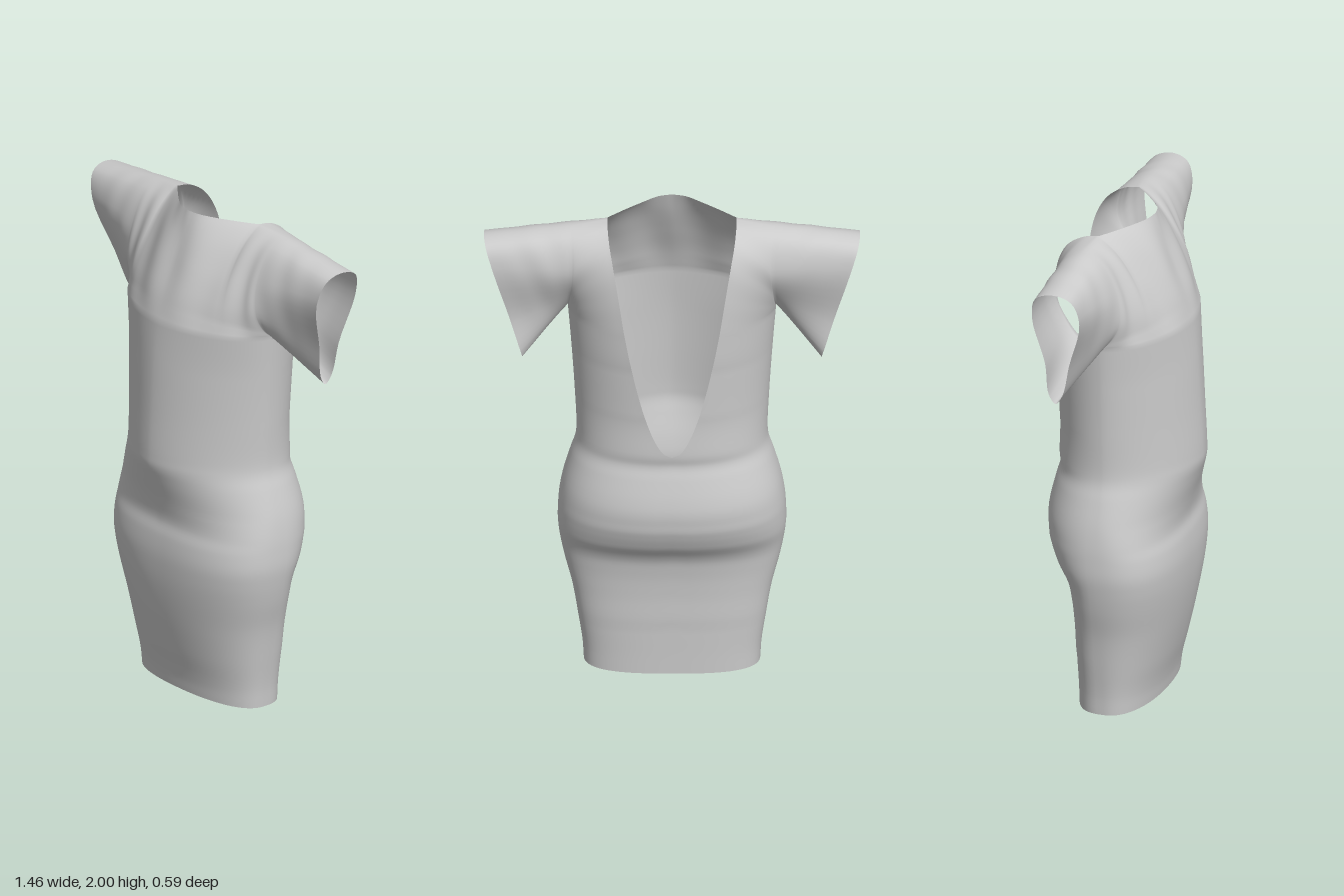
import * as THREE from 'three';

const V = (x, y, z) => new THREE.Vector3(x, y, z);
const toPoints = pts => pts.map(p => p.isVector3 ? p : V(...p));
const curve = (...pts) => new THREE.CatmullRomCurve3(toPoints(pts));
const loop = (...pts) => new THREE.CatmullRomCurve3(toPoints(pts), true);

// Body sections: y, half width, front z, back z, front squareness, back squareness
const SECTIONS = [
  [0, .343, .160, -.155, 2.2, 2.8],
  [.08, .348, .170, -.157, 2.2, 2.8],
  [.2, .365, .200, -.161, 2.2, 2.8],
  [.34, .388, .230, -.168, 2.25, 2.7],
  [.46, .418, .249, -.181, 2.35, 2.5],
  [.54, .434, .256, -.203, 2.45, 2.4],
  [.61, .443, .257, -.250, 2.5, 2.35],
  [.68, .442, .250, -.280, 2.45, 2.35],
  [.74, .437, .238, -.291, 2.35, 2.35],
  [.82, .423, .250, -.290, 2.05, 2.35],
  [.92, .395, .278, -.268, 1.85, 2.3],
  [.98, .376, .294, -.253, 1.75, 2.25],
  [1.025, .371, .295, -.259, 1.72, 2.2],
  [1.2, .378, .286, -.262, 1.7, 2.1],
  [1.4, .391, .274, -.271, 1.7, 2.1],
  [1.58, .405, .258, -.279, 1.8, 2.15],
];
const WAIST = 12, LAST = SECTIONS.length - 1, PER = 5;
const sizeCurve = curve(...SECTIONS.map(s => [s[1], s[0], s[2]]));
const shapeCurve = curve(...SECTIONS.map(s => [s[4], s[3], s[5]]));

// Half width of the open back at height y
const openBack = y => .24 * Math.sqrt(Math.max(0, y - 1.025) / .92);

// Point on the left half of the body; u runs centre to side (front) or side to centre (back)
function bodyPoint(isFront, u, t) {
  const a = sizeCurve.getPoint(t), b = shapeCurve.getPoint(t);
  const hw = a.x, n = isFront ? b.x : b.z;
  const end = isFront ? 0 : Math.asin(Math.pow(openBack(a.y) / hw, n / 2));
  const ang = isFront ? u * Math.PI / 2 : Math.PI / 2 + u * (end - Math.PI / 2);
  const s = Math.max(0, Math.sin(ang)), c = Math.max(0, Math.cos(ang));
  const lift = isFront ? .015 * c * c * Math.max(0, 1 - a.y / .08) : 0;
  return V(hw * Math.pow(s, 2 / n), a.y + lift, (isFront ? a.z : b.y) * Math.pow(c, 2 / n));
}

// Grid surface, side = -1 gives the mirrored copy
function grid(nu, nv, f, side) {
  const pos = [], idx = [];
  for (let j = 0; j <= nv; j++) for (let i = 0; i <= nu; i++) {
    const p = f(i / nu, j / nv);
    pos.push(p.x * side, p.y, p.z);
    if (i < nu && j < nv) {
      const a = j * (nu + 1) + i, b = a + 1, c = a + nu + 1, d = c + 1;
      if (side > 0) idx.push(a, b, d, a, d, c);
      else idx.push(a, d, b, a, c, d);
    }
  }
  const g = new THREE.BufferGeometry();
  g.setAttribute('position', new THREE.Float32BufferAttribute(pos, 3));
  g.setIndex(idx);
  g.computeVertexNormals();
  return g;
}

// Surface filling four boundary curves
const coons = (bottom, top, left, right) => (u, v) => {
  const mix = (p, q, k) => p.clone().lerp(q, k);
  const corners = mix(mix(bottom(0), bottom(1), u), mix(top(0), top(1), u), v);
  return mix(bottom(u), top(u), v).add(mix(left(v), right(v), u)).sub(corners);
};

// Average normals where panels meet, so that seams stay smooth
function smoothSeams(geometries) {
  const sums = new Map();
  const visit = fn => geometries.forEach(g => {
    const p = g.attributes.position, n = g.attributes.normal;
    for (let i = 0; i < p.count; i++) {
      const key = [p.getX(i), p.getY(i), p.getZ(i)].map(c => Math.round(c * 1e4) + 0).join();
      fn(key, n, i);
    }
  });
  visit((key, n, i) => {
    if (!sums.has(key)) sums.set(key, V(0, 0, 0));
    sums.get(key).add(V(n.getX(i), n.getY(i), n.getZ(i)));
  });
  visit((key, n, i) => {
    const s = sums.get(key).clone().normalize();
    n.setXYZ(i, s.x, s.y, s.z);
  });
}

export function createModel() {
  const group = new THREE.Group();
  const material = new THREE.MeshStandardMaterial({ color: 0xcccccc, side: THREE.DoubleSide });
  const COLS = 32, BACK = 16, ROWS = 25;

  // Neckline, shoulder and open back edges
  const underarm = bodyPoint(true, 1, 1);
  const neckEnd = V(.25, 1.983, -.05), shoulder = V(.40, 1.967, -.07);
  const neck = curve([0, 2, .10], [.055, 1.998, .088], [.11, 1.993, .055], [.18, 1.988, .005], neckEnd);
  const centre = curve([0, 1.58, .258], [0, 1.68, .224], [0, 1.8, .172], [0, 1.9, .132], [0, 2, .10]);
  const backEdge = curve(bodyPoint(false, 1, 1), [.207, 1.72, -.245], [.228, 1.85, -.223],
    [.243, 1.93, -.178], [.25, 1.973, -.11], neckEnd);
  const yokeTop = u => u < .5 ? neck.getPoint(u * 2) : neckEnd.clone().lerp(shoulder, u * 2 - 1);

  // Armhole and cuff loops start underneath, rise at the front and fall at the back
  const armhole = loop(underarm, [.403, 1.605, .04], [.398, 1.68, .08], [.388, 1.8, .07],
    [.392, 1.93, .005], shoulder, [.392, 1.93, -.15], [.388, 1.8, -.185],
    [.395, 1.68, -.13], [.402, 1.605, -.06]);
  const cuff = loop([.58, 1.4, -.118], [.589, 1.44, -.087], [.632, 1.59, -.045], [.692, 1.8, .017],
    [.722, 1.9, -.008], [.73, 1.926, -.075], [.722, 1.9, -.152], [.692, 1.8, -.176],
    [.632, 1.59, -.143], [.589, 1.44, -.142]);
  const armFront = v => armhole.getPoint(v / 2);
  const armBack = v => armhole.getPoint(1 - v / 2);

  const frontPatch = coons(u => bodyPoint(true, u, 1), yokeTop, v => centre.getPoint(v), armFront);
  const backPatch = coons(u => bodyPoint(false, u, 1), u => shoulder.clone().lerp(neckEnd, u),
    armBack, v => backEdge.getPoint(v));

  // Soft gathers fanning from the neckline
  const frontYoke = (u, v) => {
    const p = frontPatch(u, v);
    p.z += .008 * Math.sin(u * 17 - v * 3) * Math.sin(Math.PI * v) * Math.sin(Math.PI * u);
    return p;
  };

  // Sleeve with faint folds near the armhole
  const sleeve = (u, v) => {
    const p = armhole.getPoint(v).lerp(cuff.getPoint(v), u);
    const fold = Math.sin(Math.PI * u) * (1 - u) * Math.sin(Math.PI * v) ** 2;
    p.z += .005 * fold * Math.sin(u * 14 + v * 18);
    return p;
  };

  const w = WAIST / LAST;
  const skirtT = v => v * w, bodiceT = v => w + v * (1 - w);
  const skirtRows = WAIST * PER, bodiceRows = (LAST - WAIST) * PER * 2;
  const parts = [];
  for (const side of [1, -1]) {
    const name = side > 0 ? 'left' : 'right';
    const add = (label, nu, nv, f) => parts.push([name + label, grid(nu, nv, f, side)]);
    add('SkirtFront', COLS, skirtRows, (u, v) => bodyPoint(true, u, skirtT(v)));
    add('SkirtBack', BACK, skirtRows, (u, v) => bodyPoint(false, u, skirtT(v)));
    add('BodiceFront', COLS, bodiceRows, (u, v) => bodyPoint(true, u, bodiceT(v)));
    add('BodiceBack', BACK, bodiceRows, (u, v) => bodyPoint(false, u, bodiceT(v)));
    add('YokeFront', COLS, ROWS, frontYoke);
    add('YokeBack', BACK, ROWS, backPatch);
    add('Sleeve', 20, ROWS * 2, sleeve);
  }
  smoothSeams(parts.map(p => p[1]));
  for (const [name, geometry] of parts) {
    const mesh = new THREE.Mesh(geometry, material);
    mesh.name = name;
    group.add(mesh);
  }
  return group;
}
